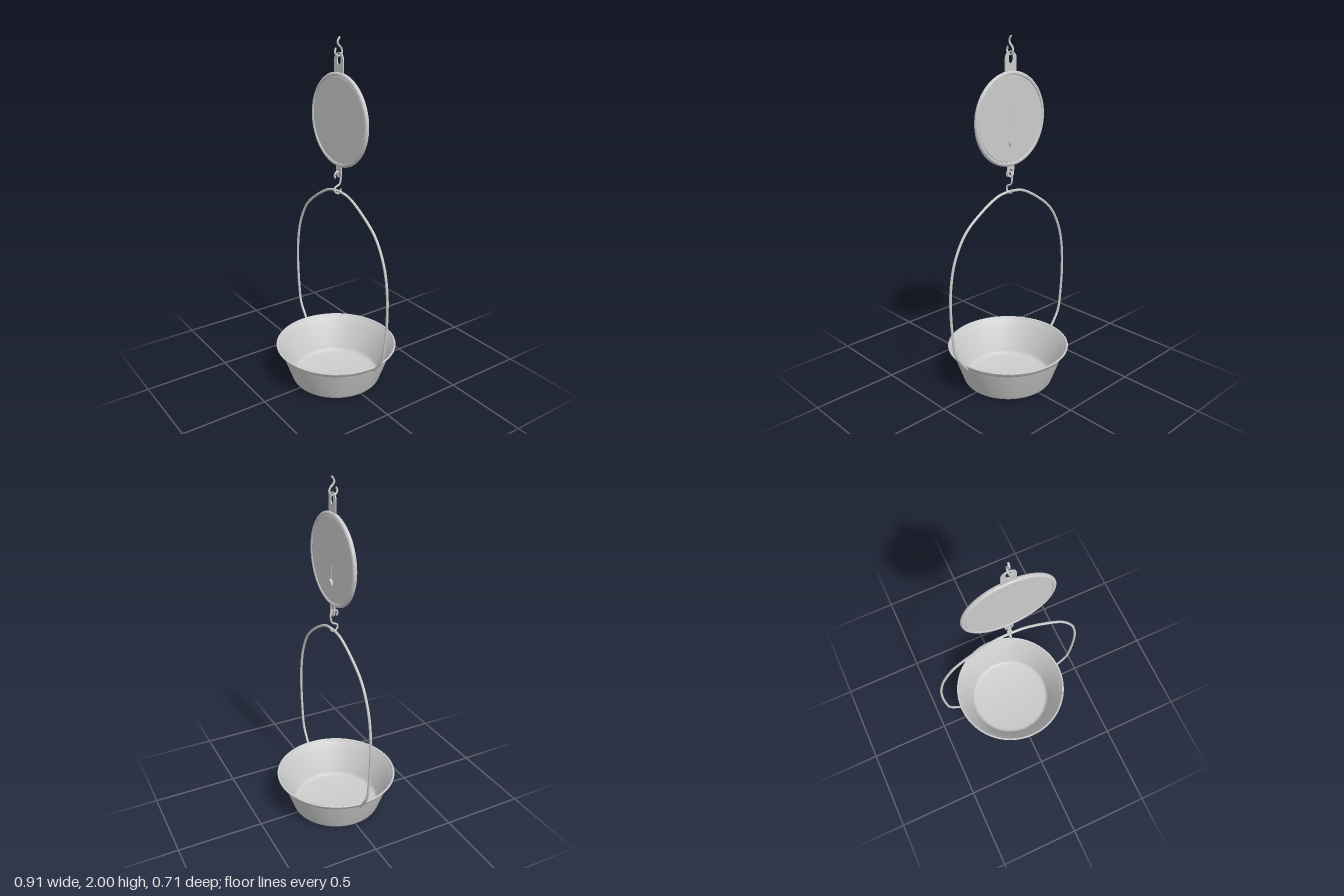
import * as THREE from 'three';
import { toCreasedNormals } from 'three/addons/utils/BufferGeometryUtils.js';

const Z = -0.02; // plane of the hanging parts
const material = new THREE.MeshStandardMaterial({ color: 0xcccccc, side: THREE.DoubleSide });

function part(name, geometry, parent) {
  const mesh = new THREE.Mesh(geometry, material);
  mesh.name = name;
  parent.add(mesh);
  return mesh;
}

function lathe(points, crease = 0.6) {
  const profile = points.map(([r, y]) => new THREE.Vector2(r, y));
  return toCreasedNormals(new THREE.LatheGeometry(profile, 96), crease);
}

// Round wire through a few points, with ball ends
function wire(name, points, radius, segments, parent) {
  const group = new THREE.Group();
  group.name = name;
  const path = points.map((p) => new THREE.Vector3(...p));
  const curve = new THREE.CatmullRomCurve3(path, false, 'centripetal');
  part(name + 'Wire', new THREE.TubeGeometry(curve, segments, radius, 12), group);
  for (const end of [path[0], path[path.length - 1]]) {
    part(name + 'End', new THREE.SphereGeometry(radius, 12, 8), group).position.copy(end);
  }
  parent.add(group);
}

// Flat tab with a rounded end at +y and a slotted hole
function tab(name, halfWidth, length, holeY, holeR, slot, parent) {
  const shape = new THREE.Shape();
  shape.moveTo(-halfWidth, 0);
  shape.lineTo(halfWidth, 0);
  shape.lineTo(halfWidth, length - halfWidth);
  shape.absarc(0, length - halfWidth, halfWidth, 0, Math.PI, false);
  shape.closePath();
  const hole = new THREE.Path();
  hole.absarc(0, holeY + slot, holeR, 0, Math.PI, false);
  hole.absarc(0, holeY - slot, holeR, Math.PI, Math.PI * 2, false);
  hole.closePath();
  shape.holes.push(hole);
  const geometry = new THREE.ExtrudeGeometry(shape, { depth: 0.007, bevelEnabled: false, curveSegments: 20 });
  geometry.translate(0, 0, -0.0035);
  return part(name, geometry, parent);
}

export function createModel() {
  const model = new THREE.Group();
  model.name = 'hangingScale';

  // Pan with a stepped lip and a rounded floor
  part('pan', lathe([
    [0, 0], [0.245, 0], [0.255, 0.002], [0.261, 0.008], [0.266, 0.018],
    [0.326, 0.188], [0.334, 0.193], [0.349, 0.217], [0.355, 0.219],
    [0.356, 0.224], [0.352, 0.227], [0.345, 0.225], [0.33, 0.2], [0.321, 0.19],
    [0.259, 0.03], [0.254, 0.02], [0.246, 0.013], [0.234, 0.01], [0, 0.01],
  ]), model);

  // Bail handle, mirrored about the middle
  const side = [[0.34, 0.195], [0.372, 0.235], [0.418, 0.31], [0.437, 0.43], [0.446, 0.6],
    [0.437, 0.74], [0.405, 0.87], [0.33, 1.0], [0.21, 1.095], [0.1, 1.153], [0.045, 1.165]];
  const bail = [
    ...side.map(([x, y]) => [x, y, Z]),
    ...side.slice().reverse().map(([x, y]) => [-x, y, Z]),
  ];
  wire('handle', bail, 0.0075, 160, model);

  // Dial: rounded rim, shallow groove and flat plates on both sides
  const dial = new THREE.Group();
  dial.name = 'dial';
  dial.position.set(0, 1.565, Z);
  model.add(dial);
  const half = [[0, 0.009], [0.231, 0.009], [0.233, 0.006], [0.235, 0.011],
    [0.24, 0.013], [0.247, 0.012], [0.252, 0.008], [0.255, 0.003]];
  const profile = [...half.map(([r, y]) => [r, -y]), ...half.slice().reverse()];
  part('dialCase', lathe(profile), dial).rotation.x = Math.PI / 2;

  // Adjusting knob and slim pointer on the back
  const knob = part('knob', new THREE.CylinderGeometry(0.022, 0.022, 0.014, 24), dial);
  knob.rotation.x = Math.PI / 2;
  knob.position.set(0, -0.125, -0.014);
  wire('pointer', [[0, 0.12, -0.008], [0, 0, -0.009], [0, -0.12, -0.008]], 0.002, 20, dial);

  // Hanging tabs above and below the dial
  tab('topTab', 0.04, 0.12, 0.086, 0.015, 0.014, model).position.set(0, 1.802, Z);
  const lower = tab('bottomTab', 0.025, 0.085, 0.055, 0.011, 0.006, model);
  lower.position.set(0, 1.332, Z);
  lower.rotation.z = Math.PI;

  // Top hook: closed eye through the tab, open curl above
  wire('topHook', [
    [0, 1.94, 0.002], [0, 1.922, 0.007], [0, 1.907, -0.004], [0, 1.903, -0.02],
    [0, 1.912, -0.034], [0, 1.928, -0.038], [0, 1.945, -0.03], [0, 1.957, -0.017],
    [0, 1.972, -0.01], [0, 1.985, -0.014], [0, 1.996, -0.022],
  ], 0.0055, 70, model);

  // Lower hook: links the bottom tab to the handle
  wire('lowerHook', [
    [0, 1.25, 0.005], [0, 1.265, 0.009], [0, 1.278, 0.001], [0, 1.282, -0.012],
    [0, 1.275, -0.026], [0, 1.26, -0.032], [0, 1.225, -0.03], [0, 1.207, -0.022],
    [0, 1.2, -0.006], [0, 1.193, 0.006], [0, 1.178, 0.01], [0, 1.164, 0.002],
    [0, 1.157, -0.012], [0, 1.16, -0.026], [0, 1.176, -0.032],
  ], 0.0055, 90, model);

  return model;
}
